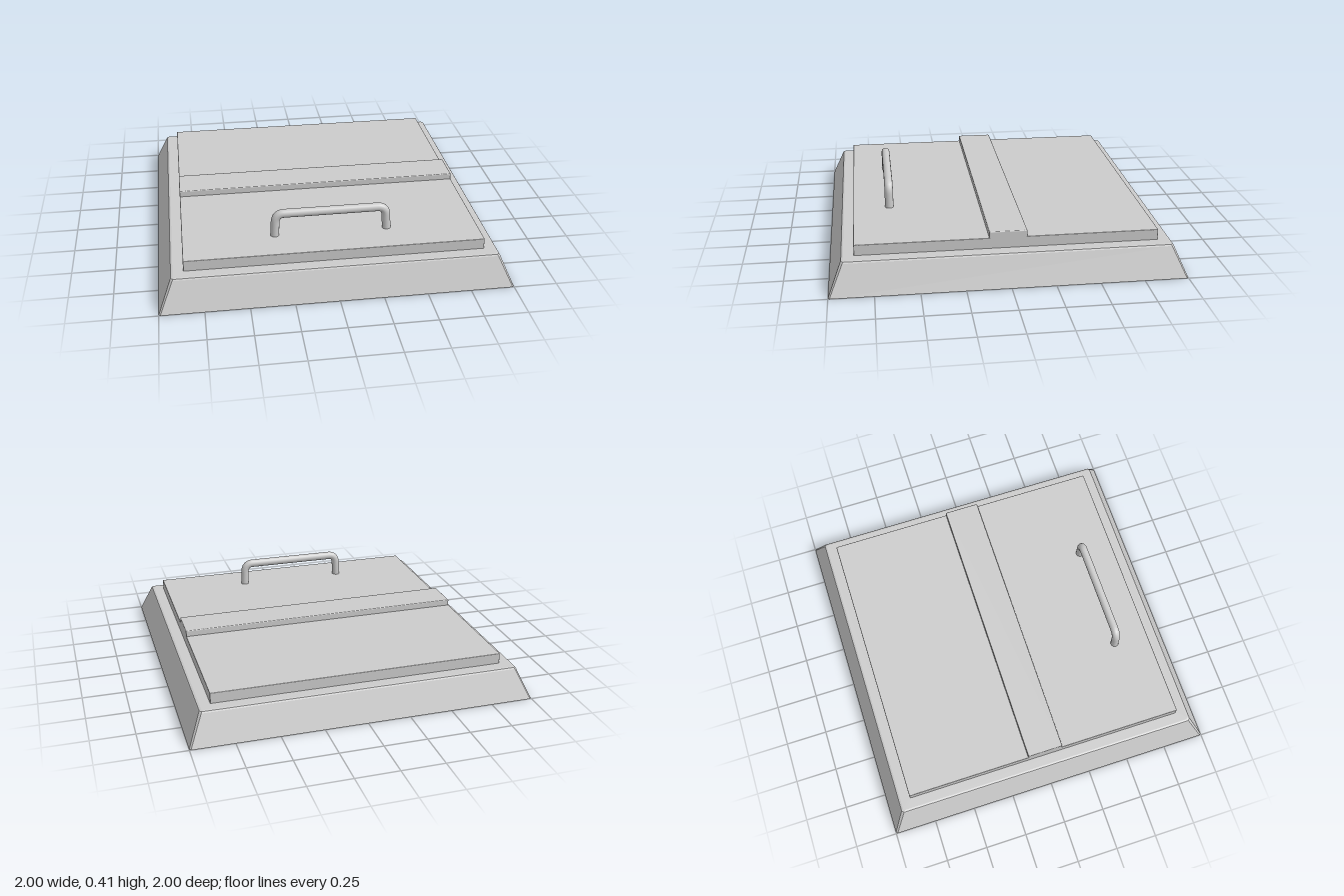
import * as THREE from 'three';
import { RoundedBoxGeometry } from 'three/addons/geometries/RoundedBoxGeometry.js';

const grey = new THREE.MeshStandardMaterial({ color: 0xcccccc });
const flatGrey = new THREE.MeshStandardMaterial({ color: 0xcccccc, flatShading: true, side: THREE.DoubleSide });

// Square ring with slightly chamfered corners, at height y
function squareLoop(half, y, c) {
  const a = half, b = half - c;
  return [[b, a], [a, b], [a, -b], [b, -a], [-b, -a], [-a, -b], [-a, b], [-b, a]]
    .map(([x, z]) => [x, y, z]);
}

// Skin between successive rings, faces pointing outward
function loftGeometry(loops) {
  const pos = [];
  for (let i = 0; i < loops.length - 1; i++) {
    const lo = loops[i], hi = loops[i + 1], n = lo.length;
    for (let k = 0; k < n; k++) {
      const j = (k + 1) % n;
      pos.push(...lo[k], ...lo[j], ...hi[j], ...lo[k], ...hi[j], ...hi[k]);
    }
  }
  const g = new THREE.BufferGeometry();
  g.setAttribute('position', new THREE.Float32BufferAttribute(pos, 3));
  g.computeVertexNormals();
  return g;
}

export function createModel() {
  const group = new THREE.Group();
  const add = (name, geometry, material, x = 0, y = 0, z = 0) => {
    const mesh = new THREE.Mesh(geometry, material);
    mesh.name = name;
    mesh.position.set(x, y, z);
    group.add(mesh);
  };

  // Sloped surround, open underneath, with a softened top edge
  add('frame', loftGeometry([
    squareLoop(1.0, 0, 0.008),
    squareLoop(0.928, 0.17, 0.012),
    squareLoop(0.923, 0.178, 0.012),
    squareLoop(0.912, 0.181, 0.01),
    squareLoop(0.84, 0.181, 0.01),
  ]), flatGrey);

  // Hatch panel reaching down through the frame
  add('hatchPanel', new RoundedBoxGeometry(1.706, 0.243, 1.706, 1, 0.004), grey, 0, 0.1215, 0);

  // Raised strip across the middle
  add('crossStrip', new RoundedBoxGeometry(1.706, 0.05, 0.214, 1, 0.006), grey, 0, 0.255, 0);

  // Bent-bar handle
  const v = (x, y) => new THREE.Vector3(x, y, 0);
  const path = new THREE.CurvePath();
  path.add(new THREE.LineCurve3(v(-0.325, 0.235), v(-0.321, 0.325)));
  path.add(new THREE.QuadraticBezierCurve3(v(-0.321, 0.325), v(-0.319, 0.38), v(-0.27, 0.38)));
  path.add(new THREE.LineCurve3(v(-0.27, 0.38), v(0.27, 0.38)));
  path.add(new THREE.QuadraticBezierCurve3(v(0.27, 0.38), v(0.319, 0.38), v(0.321, 0.325)));
  path.add(new THREE.LineCurve3(v(0.321, 0.325), v(0.325, 0.235)));
  add('handle', new THREE.TubeGeometry(path, 72, 0.025, 16, false), grey, 0, 0, 0.64);

  return group;
}
